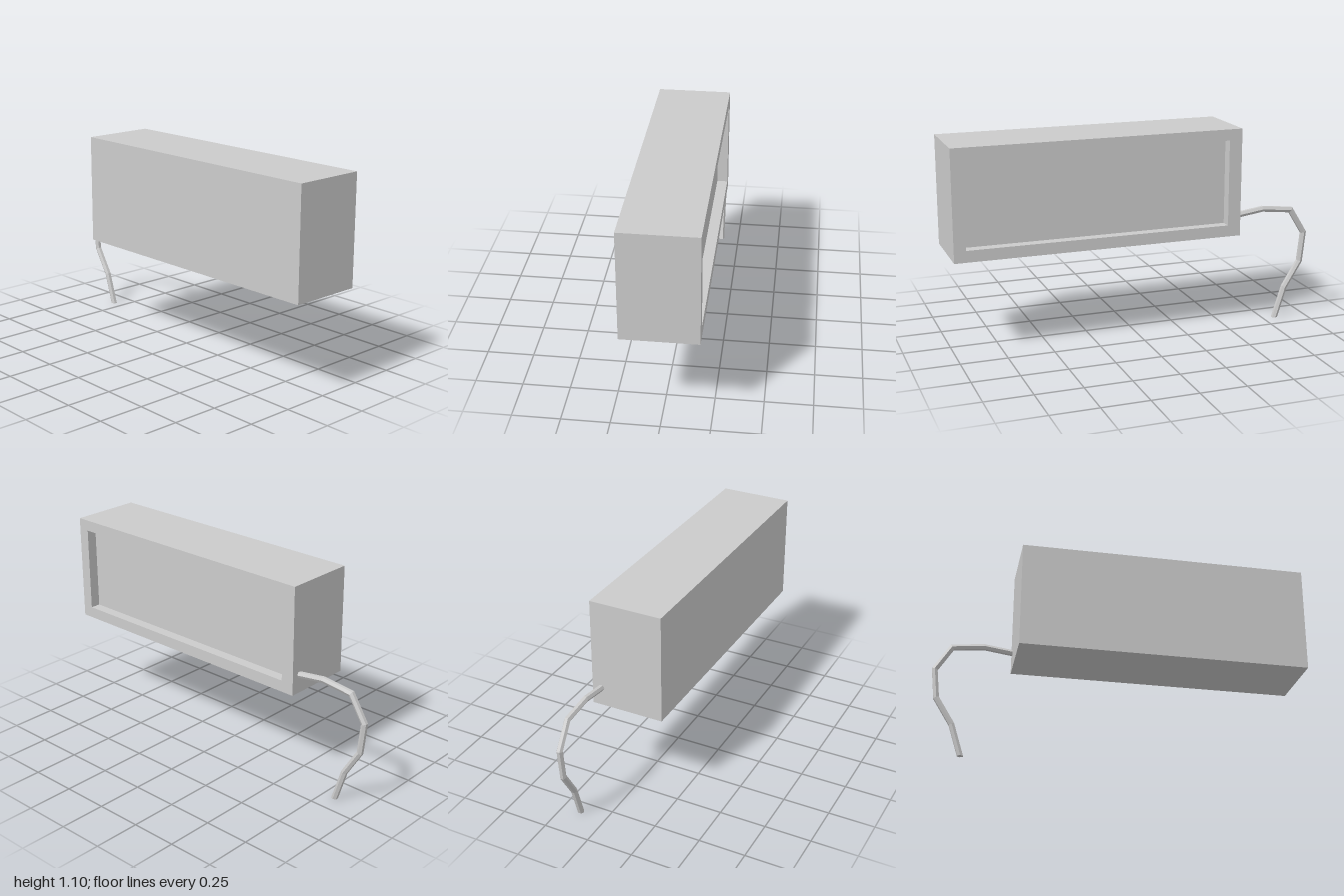
import * as THREE from 'three';

const material = new THREE.MeshStandardMaterial({ color: 0xcccccc, flatShading: true });

// Reshapes a prism: place(x, level, z, out) moves each vertex, level counting the rings from the bottom.
function reshapedPrism(name, sides, levels, thetaStart, place) {
  const geometry = new THREE.CylinderGeometry(1, 1, 1, sides, levels, false, thetaStart).toNonIndexed();
  const pos = geometry.attributes.position;
  const out = new THREE.Vector3();
  for (let i = 0; i < pos.count; i++) {
    const level = Math.round((pos.getY(i) + 0.5) * levels);
    place(pos.getX(i), level, pos.getZ(i), out);
    pos.setXYZ(i, out.x, out.y, out.z);
  }
  geometry.computeVertexNormals();
  const mesh = new THREE.Mesh(geometry, material);
  mesh.name = name;
  return mesh;
}

// Box with a shallow rectangular recess in its +x side: four rectangular rings
function createCasing() {
  const outer = { y: 0.81, z: 0.215, h: 0.294, w: 0.785 };
  const inner = { y: 0.811, z: 0.22, h: 0.233, w: 0.718 };
  const rings = [
    { x: -0.197, ...outer },
    { x: 0.197, ...outer },
    { x: 0.197, ...inner },
    { x: 0.14, ...inner },
  ];
  return reshapedPrism('casing', 4, 3, Math.PI / 4, (x, level, z, out) => {
    const r = rings[level];
    out.set(r.x, r.y + Math.sign(z) * r.h, r.z + Math.sign(x) * r.w);
  });
}

// Hexagonal cord, mitred at each bend, hanging from the back
function createCord() {
  const radius = 0.017;
  const path = [ // z, y
    [-0.565, 0.617], [-0.726, 0.639], [-0.897, 0.62], [-0.982, 0.484],
    [-0.964, 0.318], [-0.875, 0.174], [-0.82, 0],
  ].map(([z, y]) => new THREE.Vector2(z, y));
  const last = path.length - 1;
  const dirs = path.slice(1).map((p, i) => p.clone().sub(path[i]).normalize());

  const sections = path.map((p, i) => {
    const before = dirs[Math.max(i - 1, 0)];
    const after = dirs[Math.min(i, last - 1)];
    const t = before.clone().add(after).normalize();
    const mitre = radius / t.dot(after);
    return { p, nz: -t.y * mitre, ny: t.x * mitre };
  });
  // The free end is cut level with the ground
  sections[last].nz = radius / -dirs[last - 1].y;
  sections[last].nz *= Math.sign(sections[last - 1].nz);
  sections[last].ny = 0;

  return reshapedPrism('cord', 6, last, 0, (x, level, z, out) => {
    const s = sections[level];
    out.set(0.146 + z * radius, s.p.y + x * s.ny, s.p.x + x * s.nz);
  });
}

export function createModel() {
  const group = new THREE.Group();
  group.name = 'boxWithCord';
  group.add(createCasing(), createCord());
  return group;
}
